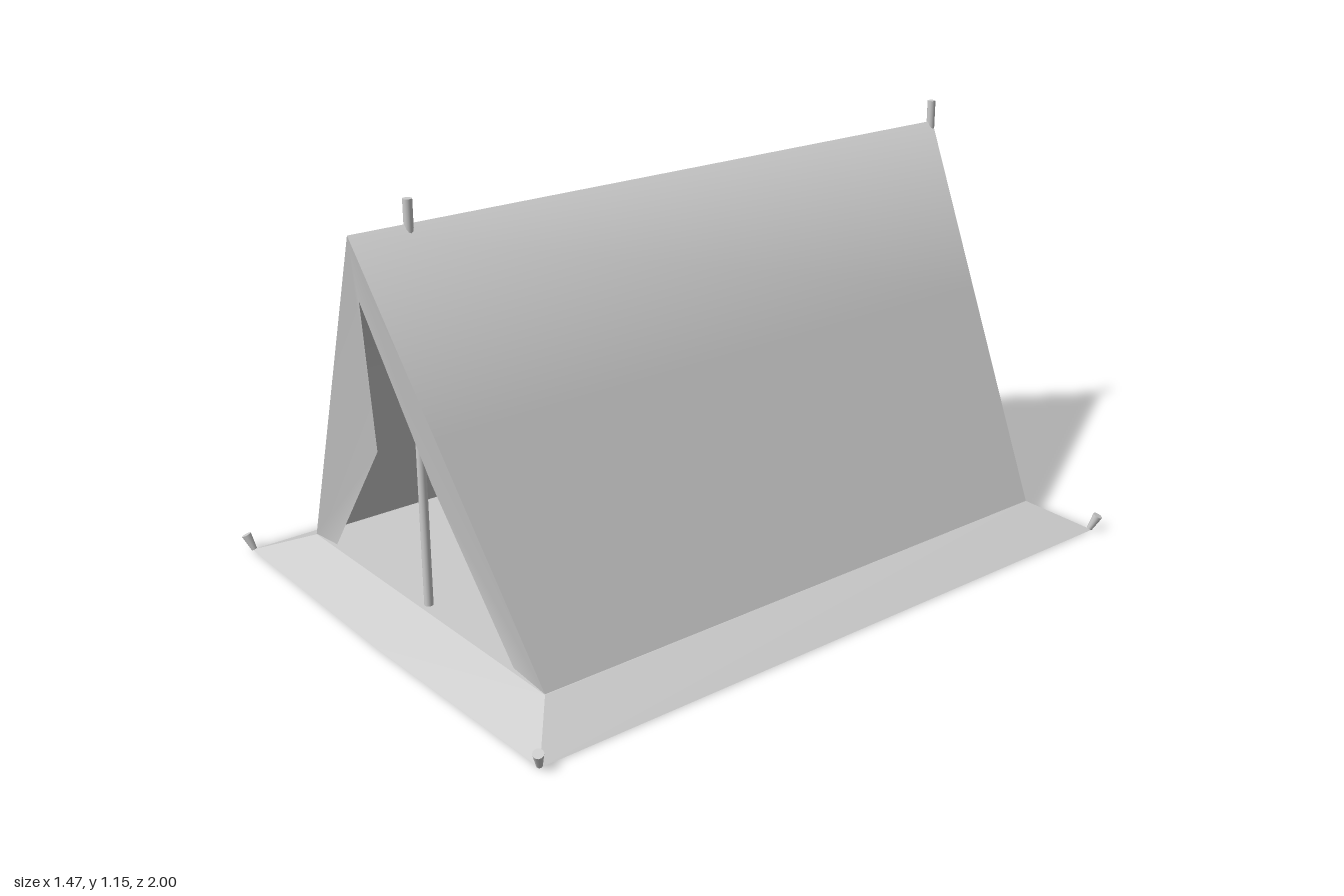
import * as THREE from 'three';

const cloth = new THREE.MeshStandardMaterial({ color: 0xcccccc, side: THREE.DoubleSide });
const solid = new THREE.MeshStandardMaterial({ color: 0xcccccc });

// Panel from corner points and polygons (fanned into triangles)
function panel(name, points, polygons, flat = false) {
  const index = [];
  for (const p of polygons) {
    for (let i = 1; i < p.length - 1; i++) index.push(p[0], p[i], p[i + 1]);
  }
  let geo = new THREE.BufferGeometry();
  geo.setAttribute('position', new THREE.Float32BufferAttribute(points.flat(), 3));
  geo.setIndex(index);
  if (flat) geo = geo.toNonIndexed();
  geo.computeVertexNormals();
  const mesh = new THREE.Mesh(geo, cloth);
  mesh.name = name;
  return mesh;
}

// Round rod between two points
function rod(name, from, to, rBottom, rTop) {
  const a = new THREE.Vector3(...from);
  const dir = new THREE.Vector3(...to).sub(a);
  const mesh = new THREE.Mesh(new THREE.CylinderGeometry(rTop, rBottom, dir.length(), 12), solid);
  mesh.position.copy(a).addScaledVector(dir, 0.5);
  mesh.quaternion.setFromUnitVectors(new THREE.Vector3(0, 1, 0), dir.normalize());
  mesh.name = name;
  return mesh;
}

export function createModel() {
  const tent = new THREE.Group();
  tent.name = 'tent';

  // Groundsheet: raised floor with sloping rim (the rear rim belongs to the back wall)
  const base = [
    [-0.71, 0, 0.975], [0, 0, 0.987], [0.71, 0, 0.975],
    [0.71, 0, -0.975], [0, 0, -0.978], [-0.71, 0, -0.975],
    [-0.555, 0.068, 0.85], [0, 0.068, 0.85], [0.555, 0.068, 0.85],
    [0.555, 0.07, -0.86], [0, 0.07, -0.955], [-0.555, 0.07, -0.86],
  ];
  tent.add(panel('groundsheet', base, [
    [0, 1, 7, 6], [1, 2, 8, 7], [2, 3, 9, 8], [5, 0, 6, 11],
    [6, 7, 8, 9, 10, 11], [5, 4, 3, 2, 1, 0],
  ], true));

  // Roof: two slopes, softened over the ridge, both ends raked outward
  const roofPoints = [], roofFaces = [];
  [-0.555, -0.25, 0, 0.25, 0.555].forEach((x, i) => {
    const t = Math.abs(x) / 0.555;
    const y = 1.085 - 1.015 * t;
    roofPoints.push([x, y, 0.99 - 0.14 * t], [x, y, -0.985 + 0.125 * t]);
    if (i) roofFaces.push([2 * i - 2, 2 * i, 2 * i + 1, 2 * i - 1]);
  });
  tent.add(panel('roof', roofPoints, roofFaces));

  // Back wall, running down into the rear rim
  tent.add(panel('backWall', [
    [0, 1.085, -0.985],
    [0.32, 0.5, -0.913], [0, 0.5, -0.93], [-0.32, 0.5, -0.913],
    [0.555, 0.07, -0.86], [0, 0.07, -0.955], [-0.555, 0.07, -0.86],
    [0.71, 0, -0.975], [0, 0, -0.978], [-0.71, 0, -0.975],
  ], [
    [0, 1, 2], [0, 2, 3], [1, 4, 5, 2], [2, 5, 6, 3], [4, 7, 8, 5], [5, 8, 9, 6],
  ]));

  // Door flaps pulled aside
  for (const s of [1, -1]) {
    const faces = [[0, 1, 2], [0, 2, 4], [2, 3, 4]];
    tent.add(panel(s > 0 ? 'leftDoorFlap' : 'rightDoorFlap', [
      [0, 1.085, 0.99], [0, 0.92, 0.97], [s * 0.13, 0.465, 0.875],
      [s * 0.43, 0.085, 0.853], [s * 0.555, 0.07, 0.85],
    ], s > 0 ? faces : faces.map((f) => f.slice().reverse())));
  }

  // Tent poles
  tent.add(rod('frontPole', [0, 0.065, 0.825], [0, 1.147, 0.825], 0.012, 0.012));
  tent.add(rod('backPole', [0, 0.005, -0.978], [0, 1.147, -0.978], 0.012, 0.012));

  // Corner pegs leaning outward
  for (const x of [1, -1]) {
    for (const z of [1, -1]) {
      tent.add(rod('peg', [x * 0.704, 0.003, z * 0.972], [x * 0.72, 0.046, z * 0.985], 0.008, 0.014));
    }
  }
  return tent;
}
